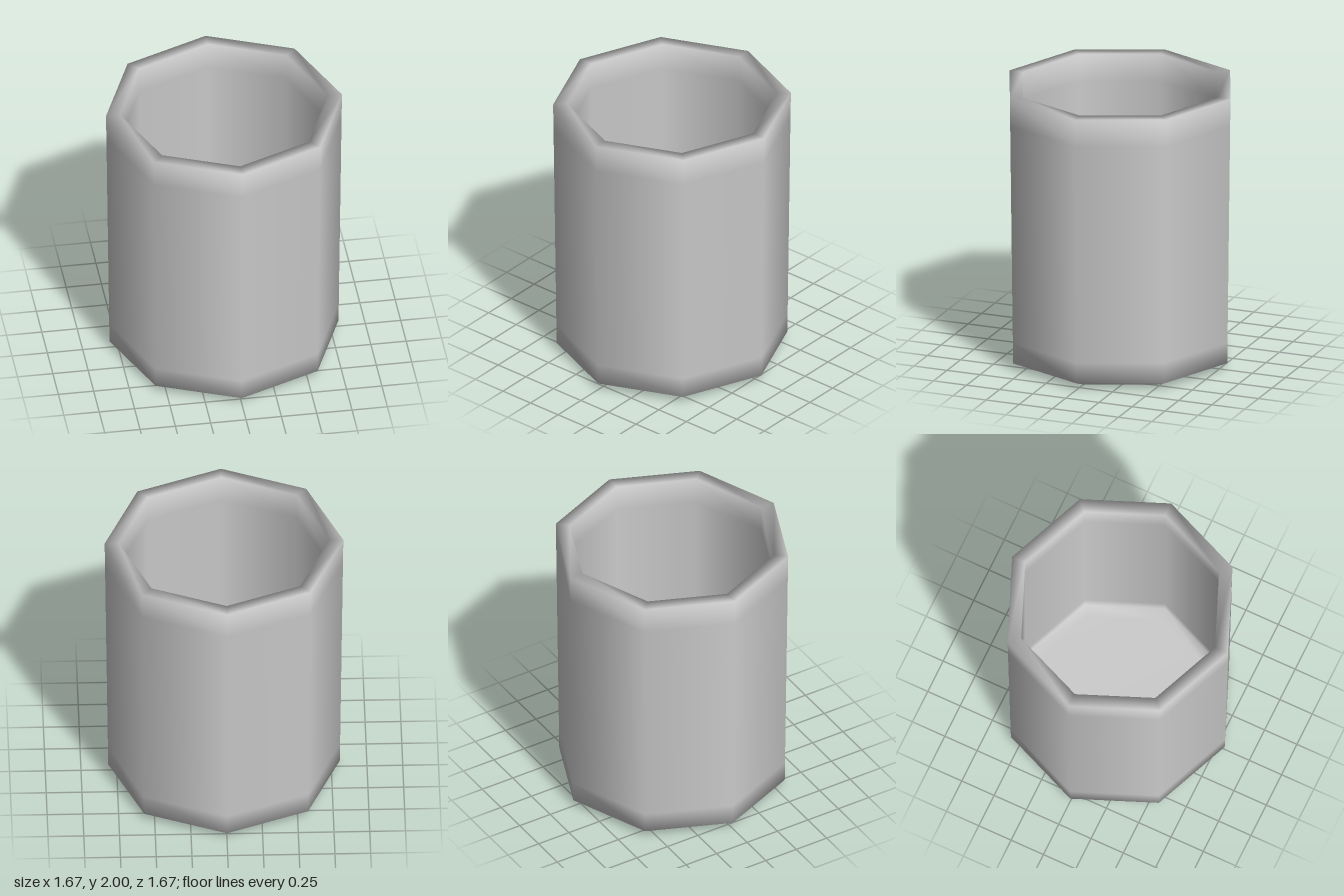
import * as THREE from 'three';

// Eight-sided cup, turned from one closed wall profile with smooth normals
export function createModel() {
  const group = new THREE.Group();
  group.name = 'cup';
  const material = new THREE.MeshStandardMaterial({ color: 0xcccccc });

  const profile = [
    [0, 0], [0.62, 0], [0.69, 0.005],          // underside
    [0.81, 0.05], [0.812, 0.2],                // bevelled foot
    [0.832, 1.8], [0.835, 2],                  // outer wall
    [0.735, 2],                                // rim
    [0.735, 1.8], [0.735, 0.2], [0.735, 0.1],  // inner wall
    [0.65, 0.08], [0, 0.08],                   // inner floor
  ].map(([r, y]) => new THREE.Vector2(r, y));

  const body = new THREE.Mesh(new THREE.LatheGeometry(profile, 8), material);
  body.name = 'cupBody';
  group.add(body);
  return group;
}
